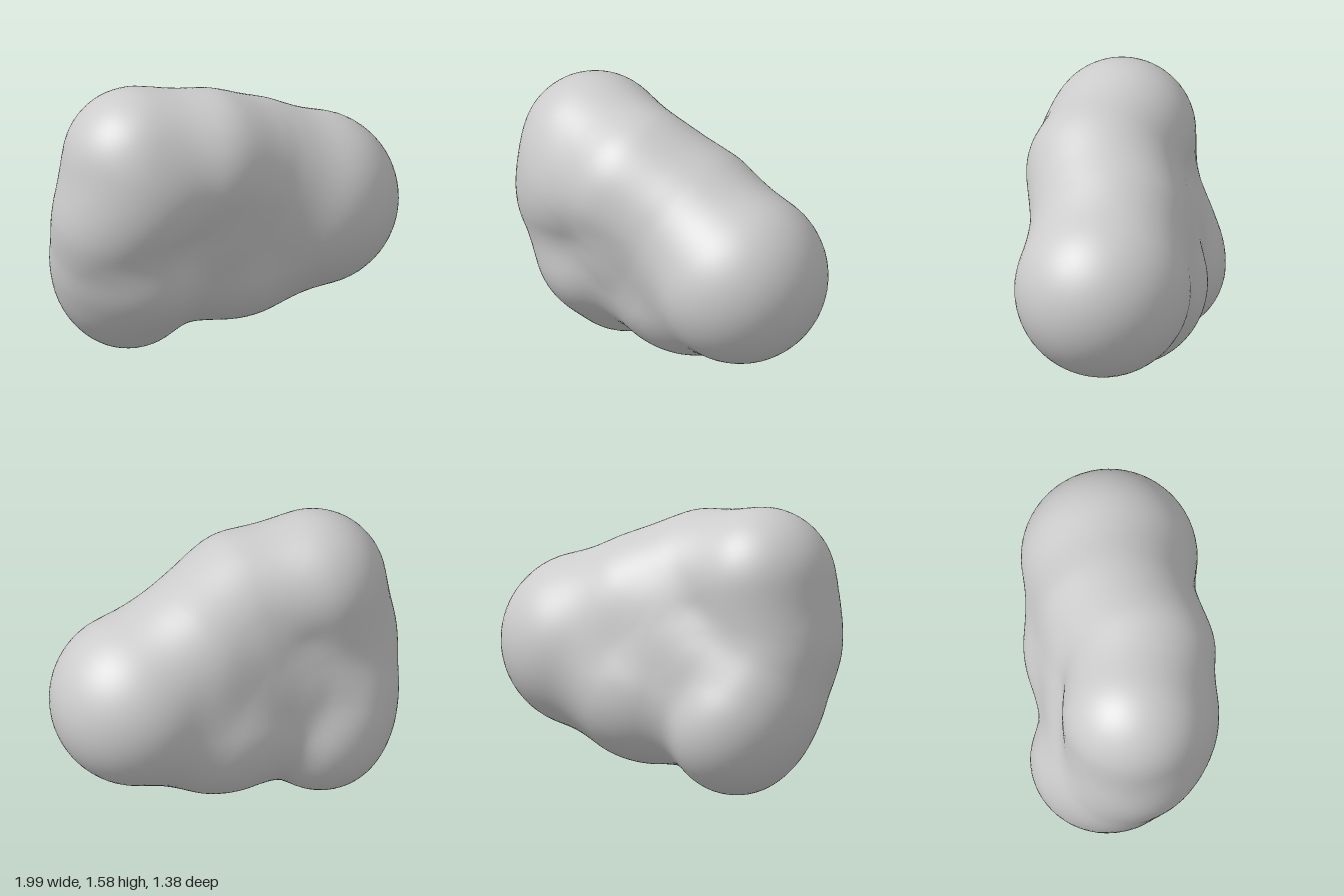
import * as THREE from 'three';
import { mergeVertices } from 'three/addons/utils/BufferGeometryUtils.js';

// Lobes of the lump: x, y, z, radius
const LOBES = [
  [0.505, 0.75, 0.20, 0.49],    // large end lobe
  [0.14, 0.565, -0.01, 0.44],   // lower middle
  [0.14, 0.955, 0.08, 0.44],    // upper middle
  [-0.20, 1.115, 0.055, 0.42],  // upper shoulder
  [-0.54, 1.18, -0.13, 0.41],   // top lobe
  [-0.56, 0.99, -0.01, 0.33],   // front cheek
  [-0.61, 0.83, -0.18, 0.385],  // side lobe
  [-0.43, 0.39, -0.30, 0.385],  // bottom lobe
  [-0.56, 0.55, -0.28, 0.34],   // web between side and bottom lobes
  [-0.50, 0.53, -0.05, 0.30],   // front web above the bottom lobe
  [-0.05, 0.54, -0.08, 0.38],   // underside web
  [-0.10, 0.85, -0.05, 0.36],   // back web
  [-0.30, 0.73, -0.20, 0.30],   // back web beside the side lobe
  [-0.15, 0.80, 0.00, 0.36],    // core
];
const BLEND = 0.15;

// Signed distance to the softly merged lobes
function distance(p) {
  let d = Infinity;
  for (const [x, y, z, r] of LOBES) {
    const e = Math.hypot(p.x - x, p.y - y, p.z - z) - r;
    const h = Math.max(BLEND - Math.abs(d - e), 0) / BLEND;
    d = Math.min(d, e) - h * h * BLEND * 0.25;
  }
  return d;
}

export function createModel() {
  const group = new THREE.Group();
  group.name = 'lump';

  // Icosphere pushed out from the core until it meets the merged surface
  let geometry = new THREE.IcosahedronGeometry(1, 24);
  geometry.deleteAttribute('uv');
  geometry.deleteAttribute('normal');
  geometry = mergeVertices(geometry, 1e-4);
  const core = new THREE.Vector3(-0.12, 0.78, -0.04);
  const pos = geometry.attributes.position;
  const dir = new THREE.Vector3();
  const p = new THREE.Vector3();
  for (let i = 0; i < pos.count; i++) {
    dir.fromBufferAttribute(pos, i).normalize();
    let t = 0;
    for (let step = 0; step < 80; step++) {
      const d = distance(p.copy(core).addScaledVector(dir, t));
      if (d > -0.0005) break;
      t -= d;
    }
    p.copy(core).addScaledVector(dir, t);
    pos.setXYZ(i, p.x, p.y, p.z);
  }

  // Stand on the ground, centred
  geometry.computeBoundingBox();
  const box = geometry.boundingBox;
  const centre = box.getCenter(new THREE.Vector3());
  geometry.translate(-centre.x, -box.min.y, -centre.z);
  geometry.computeVertexNormals();

  const body = new THREE.Mesh(geometry, new THREE.MeshStandardMaterial({ color: 0xcccccc }));
  body.name = 'body';
  group.add(body);
  return group;
}
